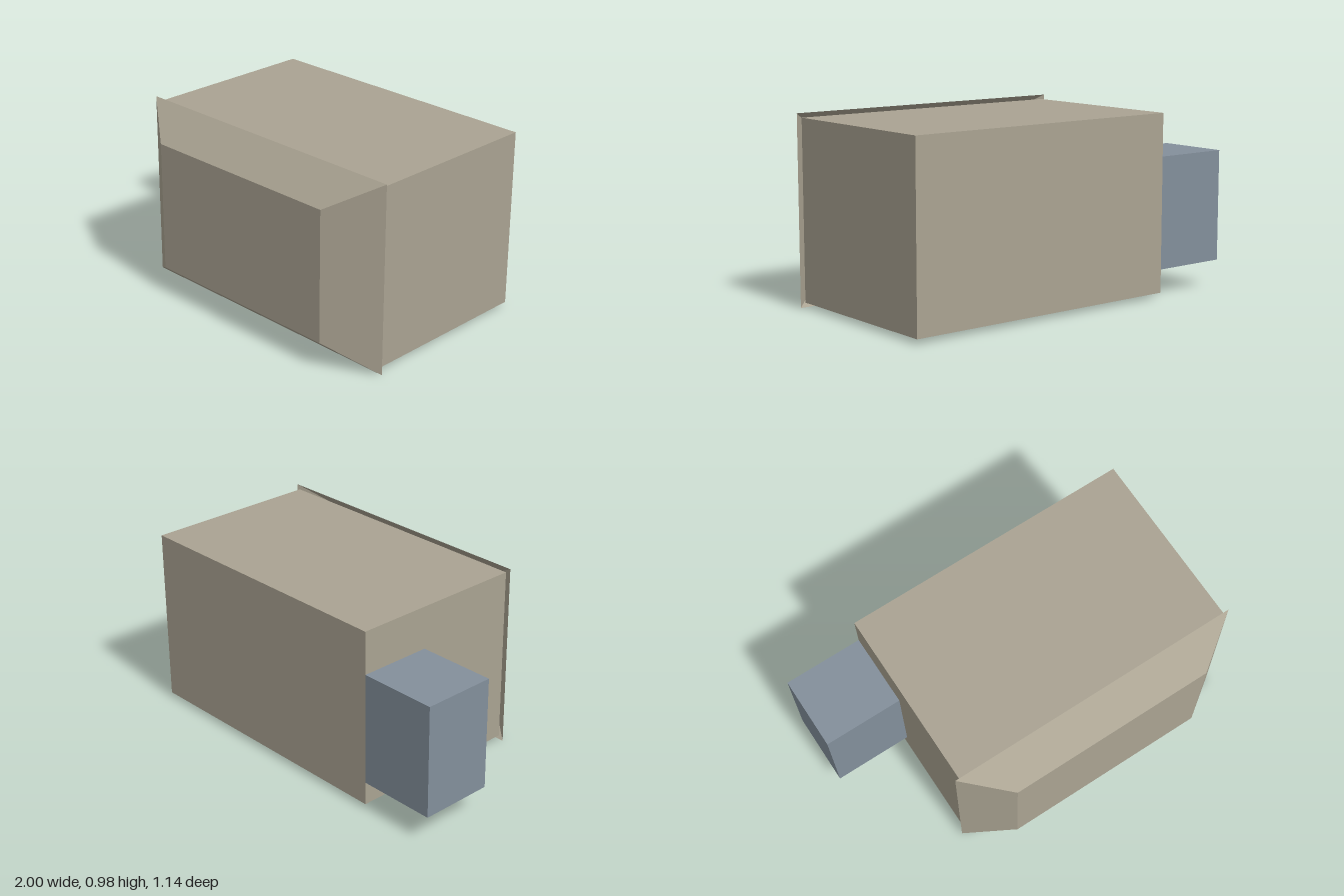
import * as THREE from 'three';

export function createModel() {
  const group = new THREE.Group();
  const shell = new THREE.MeshStandardMaterial({ color: 0xaaa392 });
  const openShell = new THREE.MeshStandardMaterial({ color: 0xaaa392, side: THREE.DoubleSide });
  const blue = new THREE.MeshStandardMaterial({ color: 0x838f9b });

  const add = (name, geometry, material) => {
    const mesh = new THREE.Mesh(geometry, material);
    mesh.name = name;
    group.add(mesh);
    return mesh;
  };

  // Box given by its low and high limits on each axis
  const box = (name, [x0, x1], [y0, y1], [z0, z1], material) =>
    add(name, new THREE.BoxGeometry(x1 - x0, y1 - y0, z1 - z0)
      .translate((x0 + x1) / 2, (y0 + y1) / 2, (z0 + z1) / 2), material);

  // Main housing and the side unit, which is let into its rear corner
  box('housing', [-0.58, 0.975], [0.028, 0.965], [-0.571, 0.39], shell);
  box('sideUnit', [-1, -0.535], [0.15, 0.74], [-0.57, -0.18], blue);

  // Tapered front hood: a box narrowed towards the front, open at the back
  const hood = new THREE.BoxGeometry(1, 1, 1);
  hood.setIndex(Array.from(hood.index.array).slice(0, 30));
  const p = hood.attributes.position;
  for (let i = 0; i < p.count; i++) {
    const front = p.getZ(i) > 0;
    const right = p.getX(i) > 0, top = p.getY(i) > 0;
    if (front) p.setXYZ(i, right ? 0.757 : -0.365, top ? 0.841 : 0.15, 0.571);
    else p.setXYZ(i, right ? 1 : -0.604, top ? 0.988 : 0.003, 0.394);
  }
  hood.computeVertexNormals();
  add('frontHood', hood, openShell);

  // Hollow rectangular frame lying under the housing
  const frame = (name, x, z, w, d, wall, bottom) => {
    const rect = (Type, hw, hd) => new Type([
      new THREE.Vector2(-hw, -hd), new THREE.Vector2(hw, -hd),
      new THREE.Vector2(hw, hd), new THREE.Vector2(-hw, hd),
    ]);
    const shape = rect(THREE.Shape, w / 2, d / 2);
    shape.holes.push(rect(THREE.Path, w / 2 - wall, d / 2 - wall));
    const geometry = new THREE.ExtrudeGeometry(shape, { depth: 0.03 - bottom, bevelEnabled: false });
    geometry.rotateX(-Math.PI / 2);
    add(name, geometry, shell).position.set(x, bottom, z);
  };

  // Row of six large frames near the front, two small ones behind
  const centre = 0.1975;
  for (let i = 0; i < 6; i++)
    frame('largeFootFrame' + (i + 1), centre + (i - 2.5) * 0.238, 0.19, 0.125, 0.197, 0.02, 0.01);
  for (const s of [-1, 1])
    frame(s < 0 ? 'smallFootFrameRight' : 'smallFootFrameLeft', centre + s * 0.285, -0.248, 0.082, 0.107, 0.02, 0.013);

  return group;
}
